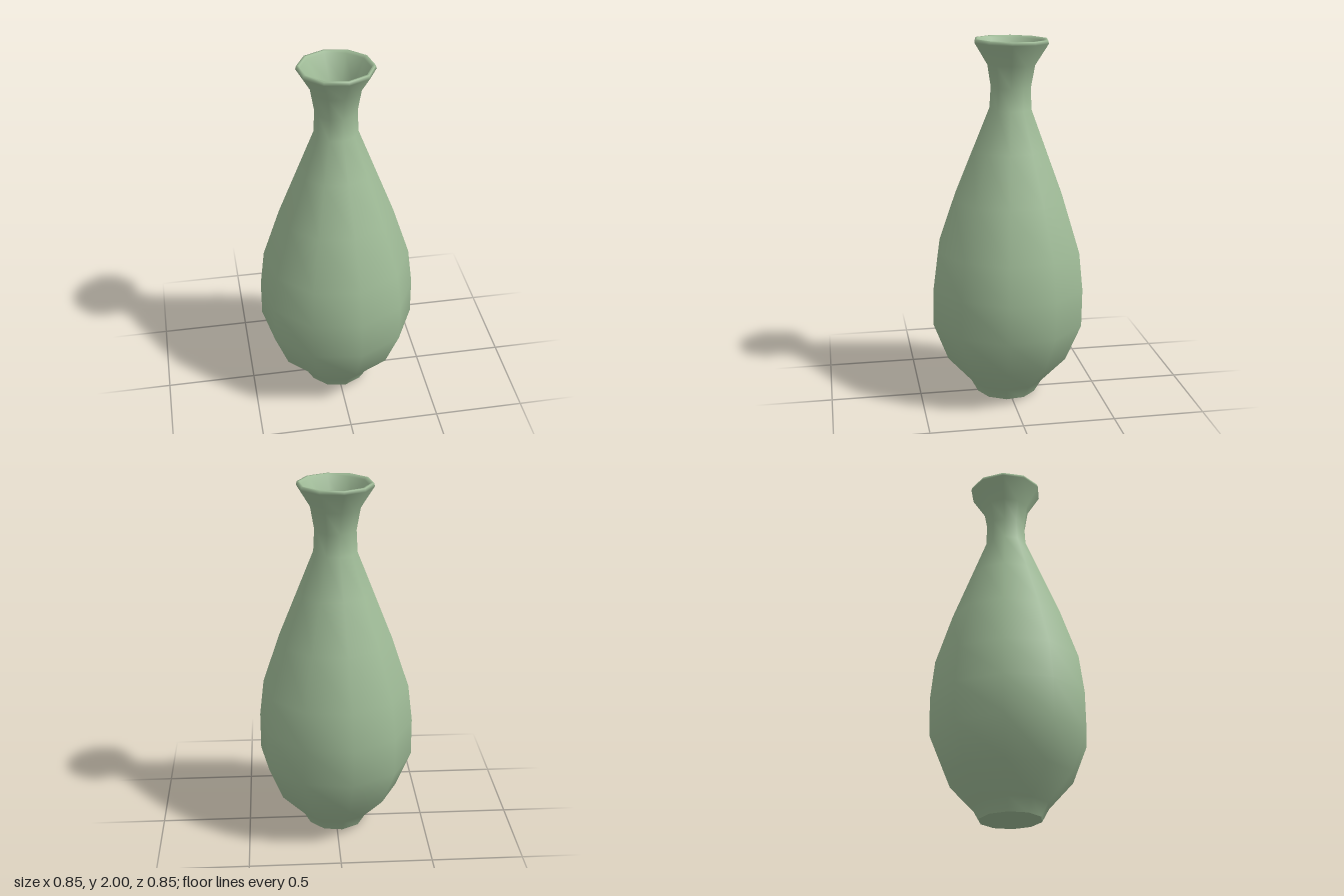
import * as THREE from 'three';

const SIDES = 10;
const TURN = THREE.MathUtils.degToRad(9.5);

// ten-sided surface of revolution from [radius, height] pairs
function lathe(name, profile, material) {
  const points = profile.map(([r, y]) => new THREE.Vector2(r, y));
  const mesh = new THREE.Mesh(new THREE.LatheGeometry(points, SIDES, TURN), material);
  mesh.name = name;
  return mesh;
}

export function createModel() {
  const glaze = new THREE.MeshStandardMaterial({ color: 0x9fbb97 });
  glaze.name = 'sage green glaze';

  const vase = new THREE.Group();
  vase.name = 'vase';

  // outer wall up to the lip, over it, and down the inside to the floor
  vase.add(lathe('body', [
    [0.168, 0], [0.207, 0.07], [0.345, 0.22], [0.43, 0.43], [0.43, 0.64],
    [0.405, 0.85], [0.312, 1.13], [0.205, 1.4], [0.118, 1.62], [0.112, 1.74],
    [0.133, 1.86], [0.205, 1.975], [0.2, 1.993], [0.187, 1.993], [0.18, 1.98],
    [0.108, 1.86], [0.087, 1.74], [0.092, 1.62], [0.178, 1.4], [0.284, 1.13],
    [0.376, 0.85], [0.4, 0.64], [0.4, 0.44], [0.32, 0.24], [0.18, 0.09], [0, 0.04],
  ], glaze));

  // flat foot
  const foot = new THREE.Mesh(
    new THREE.CircleGeometry(0.168, SIDES, Math.PI / 2 - TURN).rotateX(Math.PI / 2), glaze);
  foot.name = 'foot';
  vase.add(foot);

  // the vase leans very slightly backwards
  vase.rotation.set(-0.015, 0, -0.002);
  vase.position.set(-0.001, 0.003, 0.009);

  const model = new THREE.Group();
  model.name = 'model';
  model.add(vase);
  return model;
}
